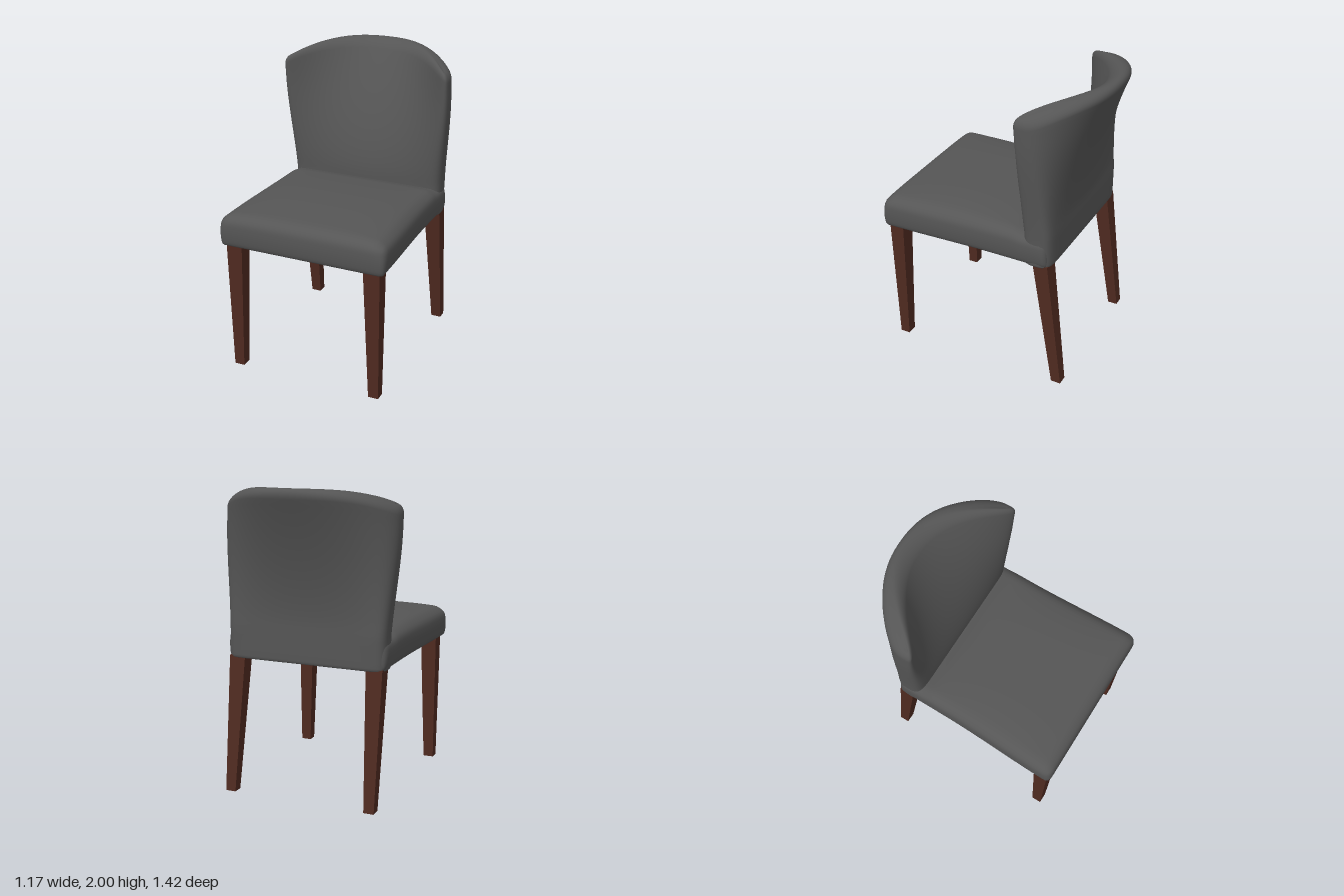
import * as THREE from 'three';
import { mergeVertices } from 'three/addons/utils/BufferGeometryUtils.js';

const clamp = THREE.MathUtils.clamp;
const lerp = THREE.MathUtils.lerp;
const smooth = THREE.MathUtils.smoothstep;

// Padded seat: a subdivided box, rounded at the edges, crowned and tapered to the back
function seatGeometry() {
  const half = [0.55, 0.105, 0.585];
  const geo = new THREE.BoxGeometry(1.1, 0.21, 1.17, 44, 12, 48);
  geo.deleteAttribute('uv');
  geo.deleteAttribute('normal');
  const pos = geo.attributes.position;
  for (let i = 0; i < pos.count; i++) {
    const p = new THREE.Vector3().fromBufferAttribute(pos, i);
    const r = lerp(0.025, 0.065, p.y / 0.21 + 0.5);
    const core = new THREE.Vector3(
      clamp(p.x, r - half[0], half[0] - r),
      clamp(p.y, r - half[1], half[1] - r),
      clamp(p.z, r - half[2], half[2] - r));
    p.sub(core).setLength(r).add(core);
    const up = p.y / 0.21 + 0.5;
    const qx = p.x / 0.55;
    const bulge = 0.012 * Math.sin(Math.PI * up);
    const z = p.z + 0.107 + bulge * smooth(p.z, 0.4, 0.58);
    // sides widen to the front and bulge at mid height
    p.x = p.x * lerp(0.975, 1.015, smooth(z, -0.1, 0.7)) + bulge * qx;
    // crown on top, dipping into the seam at the backrest
    const crown = 0.042 * (1 - qx ** 4) * (1 - ((z - 0.22) / 0.55) ** 2);
    const dip = 0.012 * (1 - smooth(z, -0.31, -0.22));
    p.y += 0.99 + up * (Math.max(crown, 0) - dip);
    pos.setXYZ(i, p.x, p.y, z);
  }
  const merged = mergeVertices(geo);
  merged.computeVertexNormals();
  return merged;
}

// Backrest: plan sections that start straight and bow backwards as they rise
function backrestGeometry() {
  const N = 96, Y0 = 0.885, ROUND = 0.065;
  // each row: height share, fullness, extra rise
  const rows = [[0, 0, 0], [0, 0.92, 0], [0, 0.98, 0.006], [0, 1, 0.02]];
  for (let j = 1; j <= 28; j++) rows.push([j / 28, 1, 0.02 * (1 - j / 28)]);
  for (let j = 1; j <= 8; j++) {
    const a = (j / 8) * Math.PI / 2;
    rows.push([1, Math.cos(a), ROUND * Math.sin(a)]);
  }
  const verts = [], index = [];
  for (const [v, full, rise] of rows) {
    for (let i = 0; i < N; i++) {
      const a = (i / N) * Math.PI * 2;
      const q = Math.cos(a), aq = Math.abs(q);
      const top = 2 - 0.1 * aq ** 3.5 - ROUND;
      const y = lerp(Y0, top, v) + rise;
      const t = clamp((y - 1.1) / 0.87, 0, 1.05);
      // ends of the section grow rounder towards the top
      const side = Math.sign(Math.sin(a)) * Math.cbrt(Math.max(0, 1 - aq ** lerp(16, 9, Math.min(t, 1))));
      const bend = t ** 1.5;
      const front = -0.3 + 0.1 * t - 0.4 * bend * (1 - aq ** 2);
      const rear = -0.5 + 0.09 * t - 0.31 * bend * (1 - aq ** 2.3);
      const width = 0.54 + 0.047 * smooth(y, 1.0, 1.75) - 0.045 * (1 - full);
      verts.push(width * q, y, (front + rear) / 2 + (front - rear) / 2 * side * full);
    }
  }
  for (let j = 0; j < rows.length - 1; j++) {
    for (let i = 0; i < N; i++) {
      const k = (i + 1) % N;
      const a = j * N + i, b = j * N + k, c = a + N, d = b + N;
      index.push(a, c, b, b, c, d);
    }
  }
  let geo = new THREE.BufferGeometry();
  geo.setAttribute('position', new THREE.Float32BufferAttribute(verts, 3));
  geo.setIndex(index);
  geo = mergeVertices(geo, 1e-5);
  geo.computeVertexNormals();
  return geo;
}

// Square tapered leg between two rectangles given as [x0, x1, z0, z1]
function legGeometry(top, bottom, height) {
  const geo = new THREE.BoxGeometry(1, 1, 1).toNonIndexed();
  const pos = geo.attributes.position;
  for (let i = 0; i < pos.count; i++) {
    const r = pos.getY(i) > 0 ? top : bottom;
    pos.setXYZ(i,
      pos.getX(i) > 0 ? r[1] : r[0],
      pos.getY(i) > 0 ? height : 0,
      pos.getZ(i) > 0 ? r[3] : r[2]);
  }
  geo.computeVertexNormals();
  return geo;
}

export function createModel() {
  const fabric = new THREE.MeshStandardMaterial({ color: 0x555555 });
  fabric.name = 'grey upholstery';
  const wood = new THREE.MeshStandardMaterial({ color: 0x4f2a20 });
  wood.name = 'dark wood';

  const chair = new THREE.Group();
  chair.name = 'chair';
  const add = (name, geo, mat) => {
    const mesh = new THREE.Mesh(geo, mat);
    mesh.name = name;
    chair.add(mesh);
  };

  add('seat', seatGeometry(), fabric);
  add('backrest', backrestGeometry(), fabric);

  // legs: straight at the front, raked at the back, mirrored left and right
  const legs = [
    ['FrontLeg', [0.42, 0.53, 0.57, 0.67], [0.453, 0.522, 0.582, 0.648]],
    ['BackLeg', [0.42, 0.53, -0.482, -0.382], [0.453, 0.522, -0.588, -0.522]],
  ];
  const mirror = ([x0, x1, z0, z1]) => [-x1, -x0, z0, z1];
  for (const [name, top, bottom] of legs) {
    add('left' + name, legGeometry(top, bottom, 0.895), wood);
    add('right' + name, legGeometry(mirror(top), mirror(bottom), 0.895), wood);
  }
  return chair;
}
